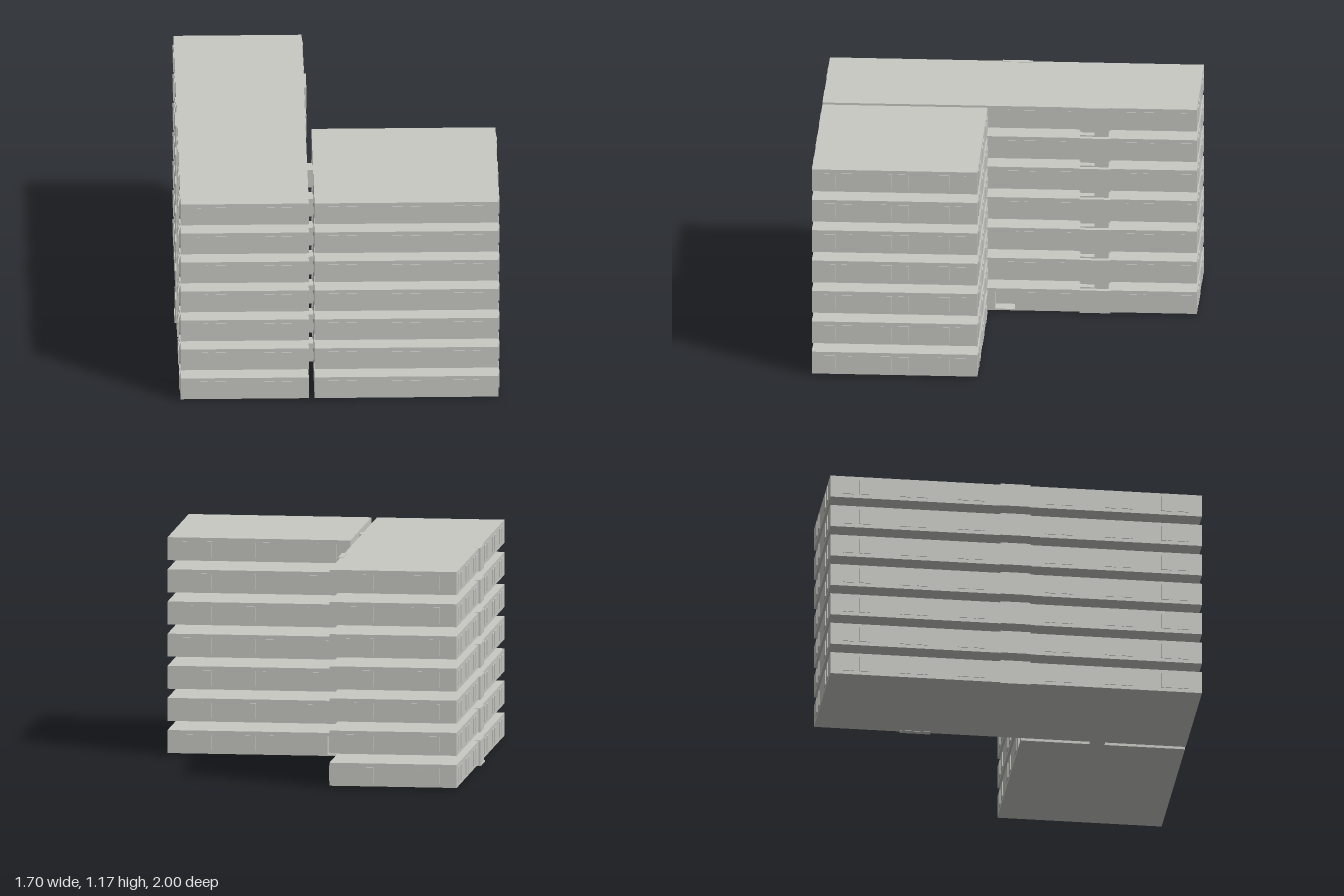
import * as THREE from 'three';

const concrete = new THREE.MeshStandardMaterial({ color: 0xc9c9c4 });
concrete.name = 'pale concrete';

const FLOORS = 7, PITCH = 0.172, BASE = 0.01, HEIGHT = 0.123;

// Box given by its min and max on each axis
function box(parent, name, x0, x1, y0, y1, z0, z1) {
  const mesh = new THREE.Mesh(new THREE.BoxGeometry(x1 - x0, y1 - y0, z1 - z0), concrete);
  mesh.position.set((x0 + x1) / 2, (y0 + y1) / 2, (z0 + z1) / 2);
  mesh.name = name;
  parent.add(mesh);
}

// Upright prism over a footprint of [x, z] points
function prism(parent, name, points, y0, y1) {
  const shape = new THREE.Shape(points.map(([x, z]) => new THREE.Vector2(x, -z)));
  const geometry = new THREE.ExtrudeGeometry(shape, { depth: y1 - y0, bevelEnabled: false });
  geometry.rotateX(-Math.PI / 2);
  const mesh = new THREE.Mesh(geometry, concrete);
  mesh.position.y = y0;
  mesh.name = name;
  parent.add(mesh);
}

// The two wings: footprint, ground floor footprint with door recess, window centres
const slab = { name: 'longWing', x0: -0.843, x1: -0.163, z0: -0.995, z1: 0.99 };
slab.recess = [
  [slab.x0, slab.z0], [slab.x1, slab.z0], [slab.x1, -0.03], [-0.24, -0.03],
  [-0.24, 0.075], [slab.x1, 0.075], [slab.x1, slab.z1], [slab.x0, slab.z1],
];
slab.windows = {
  front: [-0.725, -0.63, -0.37, -0.28],
  back: [-0.725, -0.63, -0.37, -0.28],
  left: [-0.94, -0.74, -0.65, -0.3, -0.11, -0.02],
  right: [-0.9, -0.81, -0.595, -0.505, -0.285, -0.2, 0.18, 0.27, 0.5, 0.59, 0.8, 0.89],
};
const block = { name: 'squareWing', x0: -0.133, x1: 0.843, z0: 0.113, z1: 0.99 };
block.recess = [
  [block.x0, block.z0], [-0.11, block.z0], [-0.11, 0.19], [-0.01, 0.19],
  [-0.01, block.z0], [block.x1, block.z0], [block.x1, block.z1], [block.x0, block.z1],
];
block.windows = {
  front: [-0.03, 0.065, 0.305, 0.4, 0.635, 0.735],
  back: [-0.03, 0.065, 0.305, 0.4, 0.635, 0.735],
  left: [0.2, 0.29, 0.505, 0.595, 0.805, 0.895],
  right: [],
};

// Thin window plates on all four walls of one storey
function addWindows(parent, wing, y, isGround) {
  const t = 0.005, h = 0.028;
  const y0 = y + 0.02, y1 = y + HEIGHT - 0.02;
  for (const [side, centres] of Object.entries(wing.windows)) {
    for (const c of centres) {
      // Leave the ground floor door recesses clear
      if (isGround && side === 'left' && wing === slab && c === -0.02) continue;
      if (isGround && side === 'back' && wing === block && c === -0.03) continue;
      const a = c - h, b = c + h;
      if (side === 'front') box(parent, 'window', a, b, y0, y1, wing.z1, wing.z1 + t);
      if (side === 'back') box(parent, 'window', a, b, y0, y1, wing.z0 - t, wing.z0);
      if (side === 'left') box(parent, 'window', wing.x1, wing.x1 + t, y0, y1, a, b);
      if (side === 'right') box(parent, 'window', wing.x0 - t, wing.x0, y0, y1, a, b);
    }
  }
}

function addStorey(parent, wing, y, isGround) {
  const group = new THREE.Group();
  group.name = wing.name;
  if (isGround) {
    box(group, 'groundSlab', wing.x0, wing.x1, y, y + 0.008, wing.z0, wing.z1);
    prism(group, 'groundWalls', wing.recess, y + 0.008, 0.115);
    box(group, 'groundCeiling', wing.x0, wing.x1, 0.115, y + HEIGHT, wing.z0, wing.z1);
  } else {
    box(group, 'storey', wing.x0, wing.x1, y, y + HEIGHT, wing.z0, wing.z1);
  }
  addWindows(group, wing, y, isGround);
  parent.add(group);
}

// Staircase filling the open gap between two storeys
function addStairs(parent, y0, y1) {
  const stairs = new THREE.Group();
  stairs.name = 'staircase';
  const steps = 5, x0 = -0.4, x1 = -0.18;
  const run = (x1 - x0) / steps, rise = (y1 - y0) / steps;
  for (let i = 0; i < steps; i++) {
    box(stairs, 'step', x0, x1 - i * run, y0 + i * rise, y0 + (i + 1) * rise, -0.45, -0.375);
  }
  box(stairs, 'stairCore', x0, x1, y0, y1, -0.525, -0.45);
  parent.add(stairs);
}

export function createModel() {
  const model = new THREE.Group();
  model.name = 'apartmentBuilding';
  for (let i = 0; i < FLOORS; i++) {
    const y = BASE + i * PITCH, top = y + HEIGHT;
    const storey = new THREE.Group();
    storey.name = 'level' + (i + 1);
    addStorey(storey, slab, y, i === 0);
    addStorey(storey, block, y, i === 0);
    // Link between the wings and projecting wall panels
    box(storey, 'link', slab.x1, block.x0, y, top - 0.017, 0.48, 0.56);
    box(storey, 'stairPanel', -0.18, -0.15, y - 0.002, top + 0.002, -0.537, -0.372);
    box(storey, 'entrancePanel', -0.853, -0.825, y - 0.002, top + 0.002, -0.087, 0.073);
    if (i < FLOORS - 1) addStairs(storey, top, y + PITCH);
    model.add(storey);
  }
  // Doorstep under the entrance panel
  box(model, 'doorstep', -0.857, -0.825, 0, 0.008, -0.087, 0.073);
  return model;
}
